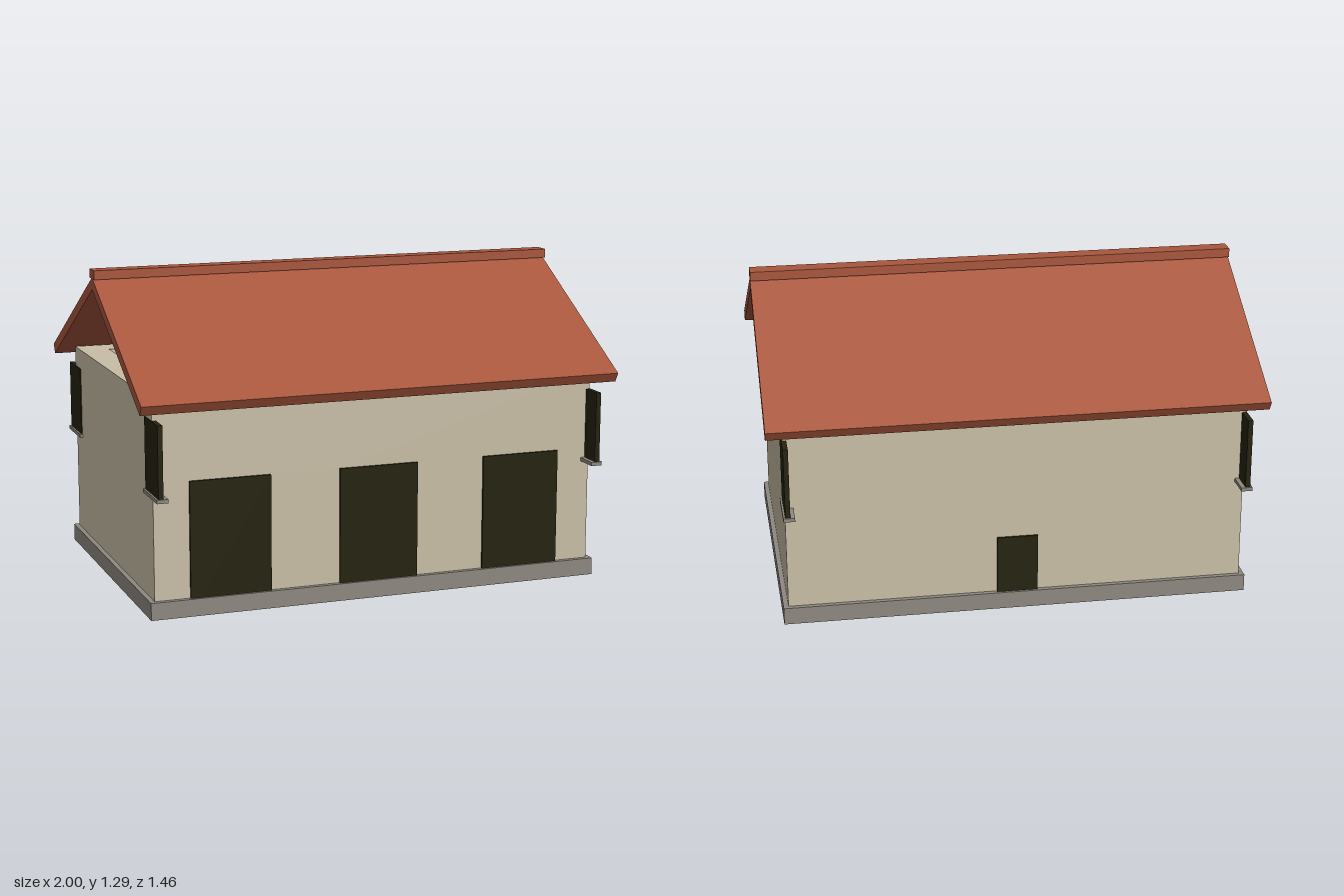
import * as THREE from 'three';

const mat = (name, color, side = THREE.FrontSide) => {
  const m = new THREE.MeshStandardMaterial({ color, side });
  m.name = name;
  return m;
};

export function createModel() {
  const plaster = mat('plaster', 0xc8bda6);
  const stone = mat('stone', 0x8d8880, THREE.DoubleSide);
  const tile = mat('roofTile', 0xa8563d);
  const dark = mat('darkPanel', 0x25230f);

  const model = new THREE.Group();
  model.name = 'house';

  const add = (name, geometry, material) => {
    const mesh = new THREE.Mesh(geometry, material);
    mesh.name = name;
    model.add(mesh);
    return mesh;
  };
  // Box given by its minimum and maximum corners
  const box = (name, material, x0, x1, y0, y1, z0, z1) => {
    const mesh = add(name, new THREE.BoxGeometry(x1 - x0, y1 - y0, z1 - z0), material);
    mesh.position.set((x0 + x1) / 2, (y0 + y1) / 2, (z0 + z1) / 2);
    return mesh;
  };

  const W = 0.93, D = 0.62, H = 0.87, T = 0.12;

  // Foundation: shallow tray that is open underneath
  const base = box('foundation', stone, -0.95, 0.95, 0, 0.07, -0.64, 0.64);
  const index = Array.from(base.geometry.index.array);
  index.splice(18, 6); // drop the bottom face
  base.geometry.setIndex(index);
  base.geometry.clearGroups();

  // Long walls, with door openings cut up from the ground
  const longWall = (name, z, doors, doorHeight) => {
    const s = new THREE.Shape();
    s.moveTo(-W, 0);
    for (const [a, b] of doors) {
      s.lineTo(a, 0);
      s.lineTo(a, doorHeight);
      s.lineTo(b, doorHeight);
      s.lineTo(b, 0);
    }
    s.lineTo(W, 0);
    s.lineTo(W, H);
    s.lineTo(-W, H);
    const g = new THREE.ExtrudeGeometry(s, { depth: T, bevelEnabled: false });
    add(name, g, plaster).position.z = z;
  };
  const frontDoors = [-0.62, 0, 0.62].map((x) => [x - 0.166, x + 0.166]);
  const backDoors = [[-0.083, 0.083]];
  longWall('frontWall', D - T, frontDoors, 0.54);
  longWall('backWall', -D, backDoors, 0.31);

  // Door panels, standing slightly proud of the walls
  for (const [a, b] of frontDoors) box('frontDoor', dark, a, b, 0, 0.54, 0.61, 0.63);
  for (const [a, b] of backDoors) box('backDoor', dark, a, b, 0, 0.31, -0.63, -0.61);

  for (const sx of [-1, 1]) {
    // End walls stop flat at eaves height, leaving the gables open
    const x = sx * (W - T / 2);
    box('endWall', plaster, x - T / 2, x + T / 2, 0, H, T - D, D - T);

    // Corner shutters with sills
    for (const sz of [-1, 1]) {
      const shutter = box('shutter', dark, 0.914, 0.934, 0.5, 0.787, 0.526, 0.714);
      const sill = box('sill', stone, 0.896, 0.942, 0.485, 0.5, 0.518, 0.721);
      for (const part of [shutter, sill]) {
        part.position.x *= sx;
        part.position.z *= sz;
      }
    }
  }

  // Roof: chevron section swept along the ridge, with square-cut eaves
  const section = new THREE.Shape(
    [[-0.732, 0.867], [-0.709, 0.829], [0, 1.209], [0.709, 0.829], [0.732, 0.867], [0, 1.258]]
      .map(([z, y]) => new THREE.Vector2(z, y))
  );
  const roof = new THREE.ExtrudeGeometry(section, { depth: 2, bevelEnabled: false });
  roof.translate(0, 0, -1).rotateY(Math.PI / 2);
  add('roof', roof, tile);

  box('ridgeCap', tile, -1, 1, 1.253, 1.29, -0.036, 0.036);

  return model;
}
